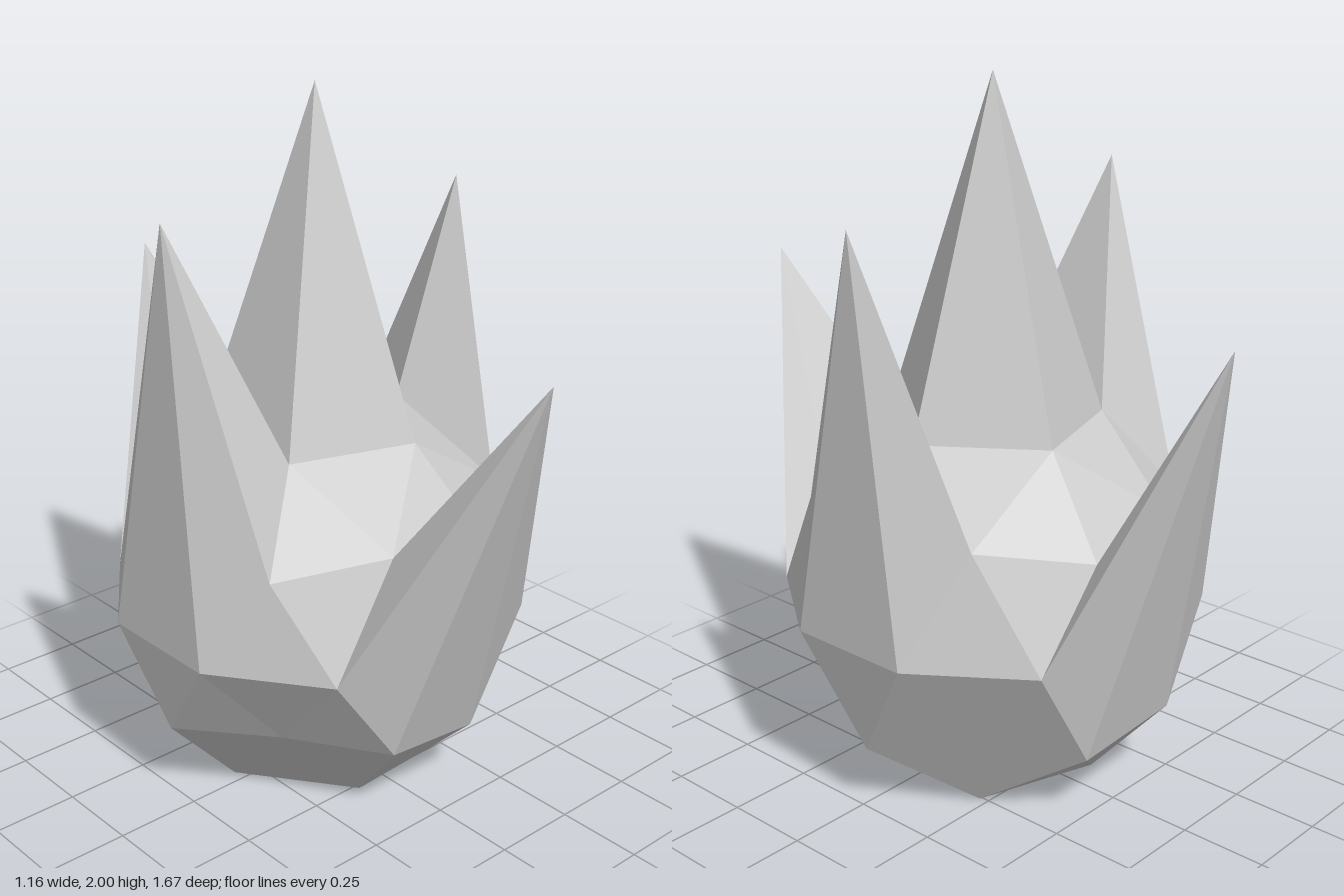
import * as THREE from 'three';

const RADIUS = 0.608;
const CENTRE = new THREE.Vector3(0, 0.518, -0.037);

// Each edit finds one sphere vertex (relative to the centre) and moves it by an offset
const spike = (x, y, z, rise, out = 0) => ({
  from: new THREE.Vector3(x, y, z),
  offset: new THREE.Vector3(0, rise, out),
});
// A facet pushes its vertex inwards until the faces around it lie flat
const facet = (x, y, z, scale) => {
  const from = new THREE.Vector3(x, y, z);
  return { from, offset: from.clone().multiplyScalar(scale - 1) };
};

const EDITS = [
  spike(0, 0.608, 0, 0.874),           // middle spike
  spike(0.544, 0.272, 0, 0.87),        // left spike
  spike(-0.517, 0.32, 0, 0.87),        // right spike
  spike(0, 0, 0.608, 0.87, 0.264),     // front spike
  spike(0, 0, -0.608, 0.87, -0.19),    // back spike
  facet(0, -0.608, 0, 0.852),          // flat base
  ...[1, -1].flatMap((side) => [
    facet(0.44, -0.272, side * 0.32, 0.851),   // five-sided facets, lower left
    facet(-0.418, -0.32, side * 0.304, 0.83),  // six-sided facets, lower right
  ]),
];

export function createModel() {
  const group = new THREE.Group();
  group.name = 'spikedCrystal';

  // Low-poly sphere turned so that one five-sided vertex points straight up
  const geometry = new THREE.IcosahedronGeometry(RADIUS, 1);
  geometry.rotateZ(-Math.atan(2 / (1 + Math.sqrt(5))));

  // Draw out the spikes and flatten the facets
  const position = geometry.attributes.position;
  const v = new THREE.Vector3();
  for (let i = 0; i < position.count; i++) {
    v.fromBufferAttribute(position, i);
    const edit = EDITS.find((e) => e.from.distanceTo(v) < 0.05);
    if (edit) v.add(edit.offset);
    v.add(CENTRE);
    position.setXYZ(i, v.x, v.y, v.z);
  }
  geometry.computeVertexNormals();

  const body = new THREE.Mesh(
    geometry,
    new THREE.MeshStandardMaterial({ color: 0xcccccc, flatShading: true }),
  );
  body.name = 'spikedBody';
  group.add(body);
  return group;
}
